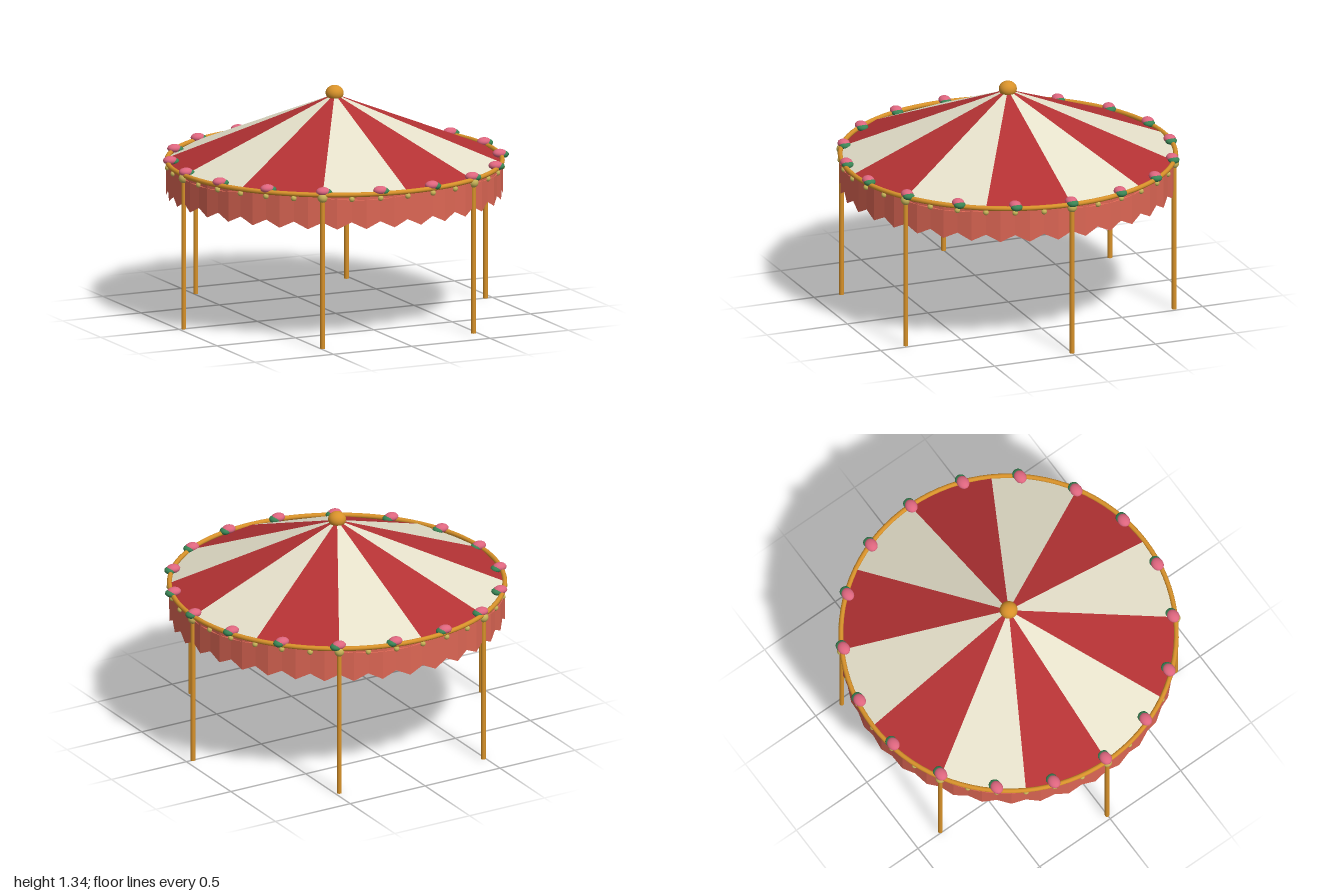
import * as THREE from 'three';

const mat = (name, color, side = THREE.FrontSide) => {
  const m = new THREE.MeshStandardMaterial({ color, side });
  m.name = name;
  return m;
};

export function createModel() {
  const red = mat('canvas red', 0xb43234);
  const cream = mat('canvas cream', 0xe6e1cb);
  const coral = mat('valance coral', 0xdc6654, THREE.DoubleSide);
  const gold = mat('gold', 0xd8922a);
  const brass = mat('pale brass', 0xc8b458);
  const pink = mat('rose pink', 0xde667f);
  const green = mat('leaf green', 0x3a8555);

  const R = 0.963, RIM = 0.902, APEX = 1.29;
  const model = new THREE.Group();
  model.name = 'canopy';
  const body = new THREE.Group();
  body.name = 'canopyBody';
  body.position.x = -0.007;
  model.add(body);

  const add = (name, geometry, material, x = 0, y = 0, z = 0) => {
    const mesh = new THREE.Mesh(geometry, material);
    mesh.name = name;
    mesh.position.set(x, y, z);
    body.add(mesh);
    return mesh;
  };
  // calls fn(x, z, index) at n even steps around a circle
  const around = (n, r, fn) => {
    for (let i = 0; i < n; i++) {
      const a = (i / n) * Math.PI * 2;
      fn(r * Math.cos(a), r * Math.sin(a), i);
    }
  };
  const surface = (points) => {
    const g = new THREE.BufferGeometry();
    g.setAttribute('position', new THREE.Float32BufferAttribute(points.flat(), 3));
    g.computeVertexNormals();
    return g;
  };

  // roof: twelve flat wedges, each with a rounded lower edge lying in its plane
  const WEDGES = 12, STEP = (Math.PI * 2) / WEDGES, ARC = 8;
  const slope = (APEX - 0.9) / (R * Math.cos(STEP / 2));
  const wedge = (i, r, apex, facesUp) => {
    const edge = (k) => {
      const t = (k / ARC - 0.5) * STEP, a = (i + 0.5) * STEP + t;
      return [r * Math.cos(a), apex - slope * r * Math.cos(t), r * Math.sin(a)];
    };
    const points = [];
    for (let k = 0; k < ARC; k++) {
      points.push([0, apex, 0], edge(facesUp ? k + 1 : k), edge(facesUp ? k : k + 1));
    }
    return surface(points);
  };
  // outer canvas, and a lining just below it with the stripes swapped
  for (let i = 0; i < WEDGES; i++) {
    add('roofPanel', wedge(i, R, APEX, true), i % 2 ? cream : red);
    add('liningPanel', wedge(i, 0.969, APEX - 0.014, false), i % 2 ? coral : cream);
  }

  // valance: lightly pleated band with a pointed hem
  const PLEATS = 72, hem = [];
  const pleat = (i, top) => {
    const a = (i / PLEATS) * Math.PI * 2, tip = i % 2;
    const r = tip ? 0.968 : 0.961;
    return [r * Math.cos(a), top ? 0.9 : tip ? 0.7 : 0.74, r * Math.sin(a)];
  };
  for (let i = 0; i < PLEATS; i++) {
    const a = pleat(i, true), b = pleat(i + 1, true), c = pleat(i, false), d = pleat(i + 1, false);
    hem.push(a, b, c, b, d, c);
  }
  add('valance', surface(hem), coral);

  // rim hoop
  const hoop = new THREE.TorusGeometry(R, 0.014, 10, 96);
  hoop.rotateX(Math.PI / 2);
  add('rimHoop', hoop, gold, 0, RIM, 0);

  // finial
  const finial = new THREE.SphereGeometry(0.052, 24, 16);
  finial.scale(1, 0.87, 1);
  add('finial', finial, gold, 0, 1.296, 0);

  // poles with a knob at each top
  const pole = new THREE.CylinderGeometry(0.014, 0.014, 0.9, 12);
  const knob = new THREE.SphereGeometry(0.029, 16, 12);
  around(6, R, (x, z) => {
    add('pole', pole, gold, x, 0.45, z);
    add('poleKnob', knob, brass, x, 0.885, z);
  });

  // small beads below the hoop
  const bead = new THREE.SphereGeometry(0.017, 12, 8);
  around(36, R, (x, z, i) => {
    if (i % 6) add('bead', bead, brass, x, 0.877, z);
  });

  // roses on the hoop, each with a leaf on its left
  const rose = new THREE.SphereGeometry(1, 16, 12);
  rose.scale(0.042, 0.025, 0.035);
  const leaf = new THREE.SphereGeometry(1, 14, 10);
  leaf.scale(0.032, 0.021, 0.034);
  around(18, 0.951, (x, z) => {
    add('rose', rose, pink, x + 0.002, 0.92, z);
    add('leaf', leaf, green, x + 0.025, 0.913, z);
  });

  return model;
}
